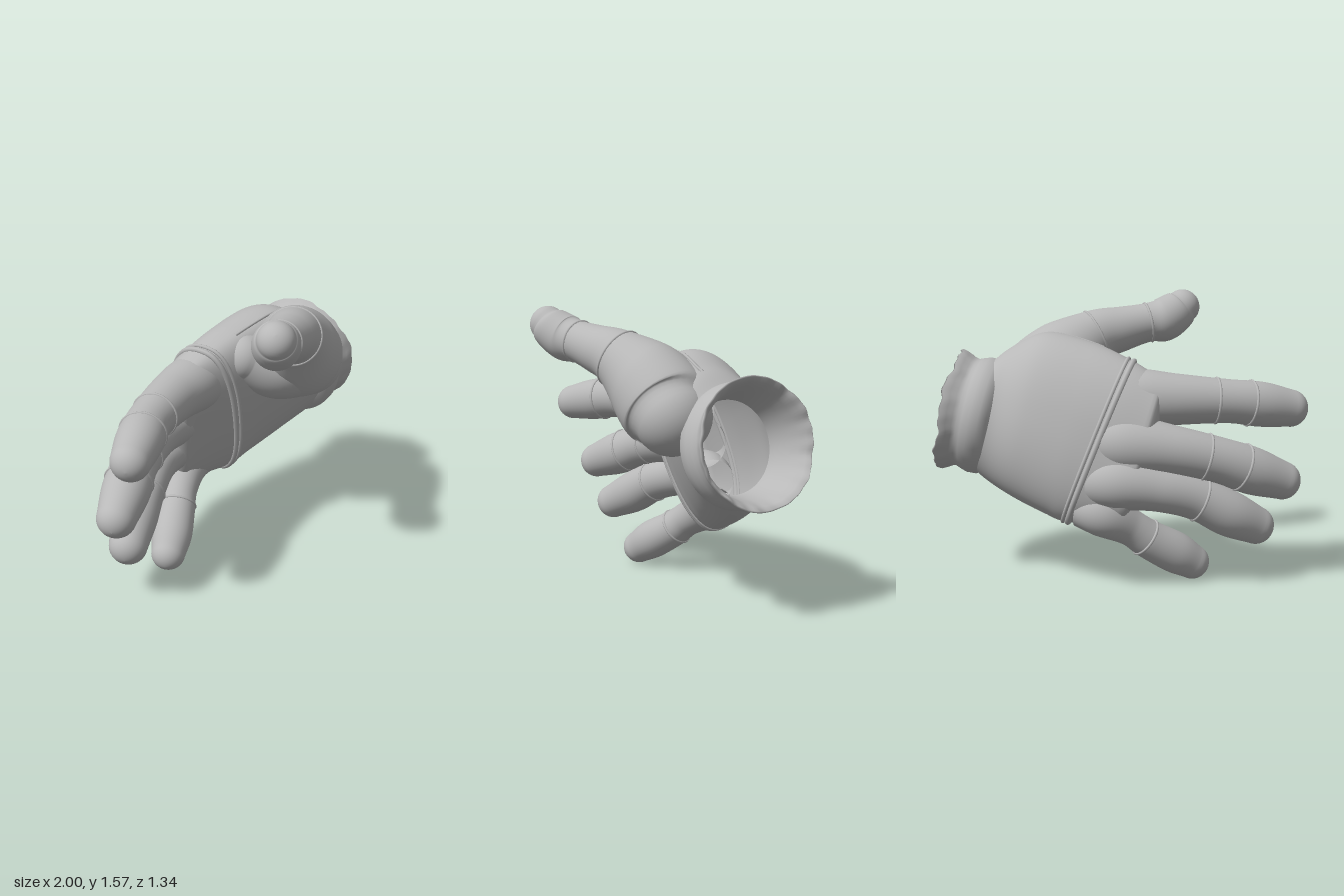
import * as THREE from 'three';

const V = (x, y, z) => new THREE.Vector3(x, y, z);
const fabric = new THREE.MeshStandardMaterial({ color: 0xb8b8b8, side: THREE.DoubleSide });
fabric.name = 'grey fabric';
const AXIS = V(1, 0.22, -0.33).normalize(); // from the knuckles towards the wrist

function mesh(name, geometry) {
  const m = new THREE.Mesh(geometry, fabric);
  m.name = name;
  return m;
}

// Skin a list of closed rings with smooth normals
function skin(rings) {
  const n = rings[0].length, index = [];
  for (let i = 0; i < rings.length - 1; i++) {
    for (let j = 0; j < n; j++) {
      const a = i * n + j, b = i * n + (j + 1) % n;
      index.push(a, b, a + n, b, b + n, a + n);
    }
  }
  const g = new THREE.BufferGeometry().setFromPoints(rings.flat());
  g.setIndex(index);
  g.computeVertexNormals();
  return g;
}

function circle(center, dir, r, n = 40, wave = () => 0) {
  const u = V(0, 1, 0).addScaledVector(dir, -dir.y).normalize();
  const v = dir.clone().cross(u);
  return Array.from({ length: n }, (_, j) => {
    const a = j / n * Math.PI * 2;
    return center.clone().addScaledVector(u, Math.cos(a) * r)
      .addScaledVector(v, Math.sin(a) * r).addScaledVector(dir, wave(a));
  });
}

const spline = pts => new THREE.CatmullRomCurve3(pts, false, 'catmullrom', 0.5);

// Rounded limb through [x, y, z, radius] points, with stitched rings at the joints
function limb(name, pts, seams, closedStart = false) {
  const group = new THREE.Group();
  group.name = name;
  const path = spline(pts.map(p => V(p[0], p[1], p[2])));
  const radius = spline(pts.map(p => V(p[3], 0, 0)));
  const rings = [], caps = 9, steps = 44;
  const cap = (t, sign, k) => {
    const a = k / caps * Math.PI / 2, d = path.getTangent(t), r = radius.getPoint(t).x;
    const c = path.getPoint(t).addScaledVector(d, sign * Math.sin(a) * r * 0.95);
    rings.push(circle(c, d, Math.max(r * Math.cos(a), 0.0005)));
  };
  if (closedStart) for (let k = caps; k > 0; k--) cap(0, -1, k);
  for (let i = 0; i <= steps; i++) {
    const t = i / steps;
    rings.push(circle(path.getPoint(t), path.getTangent(t), radius.getPoint(t).x));
  }
  for (let k = 1; k <= caps; k++) cap(1, 1, k);
  group.add(mesh(name + 'Body', skin(rings)));
  for (const t of seams) {
    const ring = mesh('jointSeam', new THREE.TorusGeometry(radius.getPoint(t).x - 0.001, 0.008, 8, 40));
    ring.position.copy(path.getPoint(t));
    ring.quaternion.setFromUnitVectors(V(0, 0, 1), path.getTangent(t));
    group.add(ring);
  }
  return group;
}

// Hand stations: thumb edge, little-finger edge, palm depth, back depth
const stations = [
  [V(-0.28, 1.12, -0.07), V(-0.13, 0.36, -0.29), 0.08, 0.19],
  [V(-0.12, 1.21, -0.07), V(0.16, 0.345, -0.33), 0.17, 0.24],
  [V(0.12, 1.3, -0.06), V(0.3, 0.385, -0.35), 0.2, 0.28],
  [V(0.4, 1.35, -0.07), V(0.49, 0.46, -0.36), 0.23, 0.31],
  [V(0.59, 1.27, -0.12), V(0.64, 0.54, -0.37), 0.26, 0.29],
  [V(0.69, 1.18, -0.21), V(0.74, 0.61, -0.37), 0.285, 0.285],
];
const thumbEdge = spline(stations.map(s => s[0]));
const littleEdge = spline(stations.map(s => s[1]));
const depths = spline(stations.map(s => V(s[2], s[3], 0)));

function palmPoint(t, a, grow = 1) {
  const top = thumbEdge.getPoint(t), bottom = littleEdge.getPoint(t), d = depths.getPoint(t);
  const u = top.clone().sub(bottom).multiplyScalar(0.5);
  const f = AXIS.clone().cross(u).normalize();
  const c = Math.cos(a), s = Math.sin(a);
  const power = 0.8 + 0.2 * t; // boxier at the knuckles, round at the wrist
  const box = x => Math.sign(x) * Math.pow(Math.abs(x), power);
  return top.add(bottom).multiplyScalar(0.5).addScaledVector(u, box(c) * grow)
    .addScaledVector(f, box(s) * grow * (s > 0 ? d.x : d.y));
}
const palmRing = (t, grow = 1, n = 72) =>
  Array.from({ length: n }, (_, j) => palmPoint(t, j / n * Math.PI * 2, grow));

export function createModel() {
  const glove = new THREE.Group();
  glove.name = 'glove';

  // Palm and back of the hand, rounded off at the knuckles and open at the wrist
  const rings = [];
  for (let k = 6; k > 0; k--) {
    const a = k / 6 * Math.PI / 2;
    const ring = palmRing(0, Math.max(Math.cos(a), 0.001));
    ring.forEach(p => p.addScaledVector(AXIS, -0.06 * Math.sin(a)));
    rings.push(ring);
  }
  for (let i = 0; i <= 50; i++) rings.push(palmRing(i / 50));
  glove.add(mesh('palm', skin(rings)));

  // Raised band round the hand behind the knuckles
  for (const [t, r] of [[0.205, 0.016], [0.235, 0.011]]) {
    const loop = new THREE.CatmullRomCurve3(palmRing(t, 1.002, 48), true);
    glove.add(mesh('knuckleBand', new THREE.TubeGeometry(loop, 120, r, 8, true)));
  }

  // Seam along the thumb side
  const sideLine = Array.from({ length: 11 }, (_, i) => palmPoint(0.36 + i * 0.045, 0.1 - i * 0.01));
  glove.add(mesh('sideSeam', new THREE.TubeGeometry(spline(sideLine), 50, 0.009, 8)));

  // Fingers
  glove.add(limb('indexFinger', [
    [0.03, 1.0, -0.19, 0.145], [-0.15, 1.02, -0.13, 0.16], [-0.35, 1.015, -0.05, 0.14],
    [-0.6, 1.0, 0.095, 0.12], [-0.75, 0.975, 0.215, 0.124], [-0.885, 0.945, 0.33, 0.104]], [0.55, 0.72]));
  glove.add(limb('middleFinger', [
    [0.02, 0.8, -0.28, 0.14], [-0.15, 0.79, -0.26, 0.162], [-0.38, 0.76, -0.18, 0.135],
    [-0.6, 0.7, -0.05, 0.124], [-0.75, 0.63, 0.07, 0.13], [-0.89, 0.565, 0.185, 0.105]], [0.54, 0.73]));
  glove.add(limb('ringFinger', [
    [0.04, 0.58, -0.33, 0.13], [-0.13, 0.59, -0.32, 0.148], [-0.33, 0.555, -0.24, 0.122],
    [-0.5, 0.495, -0.12, 0.118], [-0.65, 0.4, -0.01, 0.126], [-0.77, 0.32, 0.1, 0.104]], [0.62]));
  glove.add(limb('littleFinger', [
    [0.08, 0.44, -0.34, 0.11], [-0.05, 0.41, -0.33, 0.125], [-0.17, 0.325, -0.24, 0.1],
    [-0.25, 0.25, -0.17, 0.106], [-0.36, 0.165, -0.07, 0.114], [-0.44, 0.1, 0, 0.096]], [0.56]));

  // Thumb, its full base and the web towards the index finger
  glove.add(limb('thumb', [
    [0.57, 1.03, 0.02, 0.205], [0.5, 1.08, 0.04, 0.245], [0.38, 1.2, 0.12, 0.225],
    [0.25, 1.31, 0.24, 0.157], [0.13, 1.35, 0.33, 0.13], [0, 1.385, 0.42, 0.113],
    [-0.075, 1.4, 0.475, 0.128], [-0.135, 1.45, 0.545, 0.117], [-0.16, 1.475, 0.57, 0.1]], [0.375, 0.625], true));
  glove.add(limb('thumbWeb', [
    [0.5, 1.08, 0.03, 0.24], [0.32, 1.07, 0.01, 0.205], [0.14, 1.14, -0.04, 0.135]], []));

  // Cuff: rolled collar, frayed flaring lip and inner lining
  const profile = [[-0.03, 0.27], [-0.01, 0.305], [0.03, 0.326], [0.08, 0.328], [0.12, 0.315], [0.145, 0.305],
    [0.17, 0.31], [0.2, 0.325], [0.235, 0.34], [0.242, 0.332], [0.215, 0.31], [0.17, 0.288],
    [0.1, 0.268], [0.03, 0.25], [-0.02, 0.245]];
  const rim = V(0.875, 0.93, -0.345);
  const fray = a => 0.009 * Math.sin(5 * a + 1) + 0.005 * Math.sin(11 * a) + 0.004 * Math.sin(23 * a + 2);
  glove.add(mesh('cuff', skin(profile.map(([s, r]) => {
    const amount = Math.max(0, (s - 0.14) / 0.1);
    return circle(rim.clone().addScaledVector(AXIS, s - 0.24), AXIS, r, 120, a => fray(a) * amount);
  }))));
  return glove;
}
